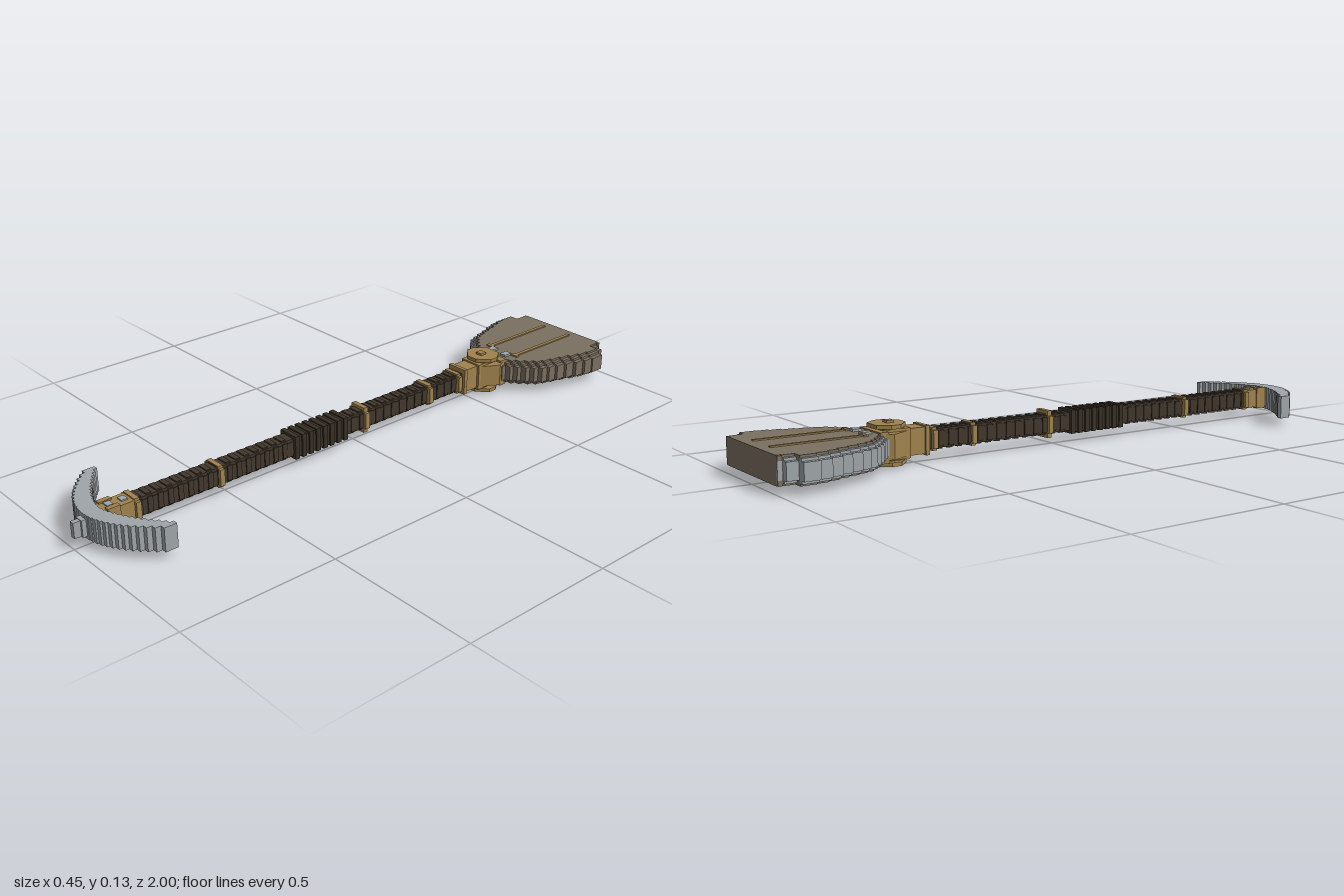
import * as THREE from 'three';

const mat = (name, color) => {
  const m = new THREE.MeshStandardMaterial({ color });
  m.name = name;
  return m;
};

export function createModel() {
  const steel = mat('steel', 0x9fa5a9);
  const blade = mat('blade brown', 0x7b7061);
  const gold = mat('old gold', 0xa1834f);
  const wood = mat('dark wood', 0x42382d);
  const grip = mat('grip leather', 0x393027);
  const root = new THREE.Group();
  const CY = 0.067; // height of the long axis

  const group = (name, parent = root) => {
    const g = new THREE.Group();
    g.name = name;
    parent.add(g);
    return g;
  };
  // Box given by its limits
  const box = (parent, name, m, x0, x1, y0, y1, z0, z1) => {
    const mesh = new THREE.Mesh(new THREE.BoxGeometry(x1 - x0, y1 - y0, z1 - z0), m);
    mesh.position.set((x0 + x1) / 2, (y0 + y1) / 2, (z0 + z1) / 2);
    mesh.name = name;
    parent.add(mesh);
    return mesh;
  };
  // Box centred on the long axis: half width, half height, z limits
  const axial = (parent, name, m, w, h, z0, z1) => box(parent, name, m, -w, w, CY - h, CY + h, z0, z1);
  // Flat outline [x, z] extruded between two heights
  const slab = (parent, name, m, pts, y0, y1) => {
    const shape = new THREE.Shape(pts.map(([x, z]) => new THREE.Vector2(x, -z)));
    const geo = new THREE.ExtrudeGeometry(shape, { depth: y1 - y0, bevelEnabled: false });
    geo.rotateX(-Math.PI / 2);
    const mesh = new THREE.Mesh(geo, m);
    mesh.position.y = y0;
    mesh.name = name;
    parent.add(mesh);
  };

  // Stepped spade blade: [start z, half width] of each row
  const spade = group('spadeBlade');
  const rows = [[-1, 0.172], [-0.985, 0.195], [-0.95, 0.226], [-0.9, 0.221], [-0.865, 0.211], [-0.83, 0.198],
    [-0.795, 0.188], [-0.76, 0.178], [-0.73, 0.168], [-0.705, 0.15], [-0.685, 0.13], [-0.665, 0.108],
    [-0.648, 0.088], [-0.632, 0.068]];
  const tail = -0.615;
  const half = (sign, inset) => {
    const pts = [[0, -1]];
    rows.forEach(([z, w], i) => {
      const z1 = i + 1 < rows.length ? rows[i + 1][0] : tail;
      const x = sign * Math.max(0.02, w - (i ? inset : inset * 0.3));
      pts.push([x, z], [x, z1]);
    });
    pts.push([0, tail]);
    return pts;
  };
  for (const [side, sign, m] of [['left', 1, blade], ['right', -1, steel]]) {
    slab(spade, side + 'OuterEdge', m, half(sign, 0), 0.04, 0.092);
    slab(spade, side + 'InnerEdge', m, half(sign, 0.014), 0.031, 0.1);
    slab(spade, side + 'Face', blade, half(sign, 0.026), 0.024, 0.107);
  }
  // Plain back end covering both halves
  box(spade, 'backEnd', blade, -0.172, 0.172, 0.025, 0.106, -1.0, -0.986);

  // Ribs and rivets on both faces of the blade
  for (const x of [-0.056, 0.056]) {
    box(spade, 'bladeRib', gold, x - 0.006, x + 0.006, 0.02, 0.111, -0.97, -0.69);
    box(spade, 'ribFoot', gold, x - 0.014, x + 0.014, 0.019, 0.112, -0.695, -0.682);
  }
  for (const x of [-0.03, 0.03]) box(spade, 'rivet', steel, x - 0.012, x + 0.012, 0.018, 0.114, -0.685, -0.655);
  box(spade, 'collarPlate', gold, -0.062, 0.062, 0.02, 0.111, -0.64, -0.612);

  // Flared socket joining shaft and blade
  const socket = group('socket');
  axial(socket, 'socketNeck', gold, 0.031, 0.04, -0.53, -0.465);
  axial(socket, 'socketLip', gold, 0.037, 0.044, -0.478, -0.465);
  axial(socket, 'socketBody', gold, 0.04, 0.045, -0.62, -0.53);
  slab(socket, 'socketFlare', gold, [[-0.034, -0.53], [0.034, -0.53], [0.072, -0.6], [0.062, -0.622],
    [-0.062, -0.622], [-0.072, -0.6]], 0.03, 0.104);
  for (const s of [-1, 1]) {
    const level = (a, b) => [CY + s * a, CY + s * b].sort((p, q) => p - q);
    const plate = [[-0.02, -0.535], [0.02, -0.535], [0.056, -0.57], [0.056, -0.6], [0.03, -0.635],
      [-0.03, -0.635], [-0.056, -0.6], [-0.056, -0.57]];
    slab(socket, 'bossPlate', gold, plate, ...level(0.048, 0.06));
    box(socket, 'bossStem', gold, -0.035, 0.035, ...level(0.04, 0.05), -0.615, -0.55);
    box(socket, 'bossKnob', gold, -0.012, 0.012, ...level(0.058, 0.067), -0.592, -0.568);
  }

  // Ribbed shaft
  const shaft = group('shaft');
  axial(shaft, 'shaftCore', wood, 0.024, 0.029, -0.48, 0.9);
  axial(shaft, 'shaftSides', wood, 0.026, 0.02, -0.48, 0.82);
  for (let z = -0.43; z < 0.8; z += 0.034) {
    if (z > 0.03 && z < 0.26) continue;
    axial(shaft, 'shaftRib', wood, 0.029, 0.024, z, z + 0.017);
    axial(shaft, 'shaftRib', wood, 0.02, 0.033, z, z + 0.017);
  }

  // Thicker wrapped grip
  const wrap = group('grip');
  axial(wrap, 'gripCore', grip, 0.031, 0.034, 0.052, 0.258);
  for (let i = 0; i < 8; i++) {
    axial(wrap, 'gripWrap', grip, 0.036, 0.038, 0.05 + i * 0.0275, 0.066 + i * 0.0275);
  }

  // Gold bands around the shaft
  for (const z of [-0.445, -0.31, -0.03, 0.53, 0.812]) {
    const band = group('band');
    const h = Math.abs(z + 0.03) < 0.01 ? 0.043 : 0.035;
    axial(band, 'bandWide', gold, 0.039, 0.027, z - 0.008, z + 0.008);
    axial(band, 'bandTall', gold, 0.029, h, z - 0.008, z + 0.008);
  }

  // Socket holding the crescent
  const mount = group('crescentMount');
  axial(mount, 'mountBody', gold, 0.029, 0.031, 0.82, 0.915);
  for (const x of [-0.024, 0.024]) {
    box(mount, 'mountRail', gold, x - 0.008, x + 0.008, CY - 0.036, CY + 0.036, 0.865, 0.905);
  }
  for (const z of [0.84, 0.885]) axial(mount, 'mountRivet', steel, 0.012, 0.035, z - 0.01, z + 0.01);

  // Crescent blade of narrow upright slices
  const crescent = group('crescentBlade');
  const n = 27, step = 0.42 / n;
  for (let i = 0; i < n; i++) {
    const x = -0.21 + (i + 0.5) * step;
    const t = Math.abs(x) / 0.205;
    box(crescent, 'crescentSlice', steel, x - step / 2, x + step / 2, 0.026, 0.101,
      0.915 - 0.115 * t ** 1.6, 0.965 - 0.125 * t * t);
  }
  box(crescent, 'tipBase', steel, -0.015, 0.015, 0.035, 0.088, 0.95, 0.978);
  box(crescent, 'tip', steel, -0.008, 0.008, 0.037, 0.086, 0.97, 1.0);

  return root;
}
